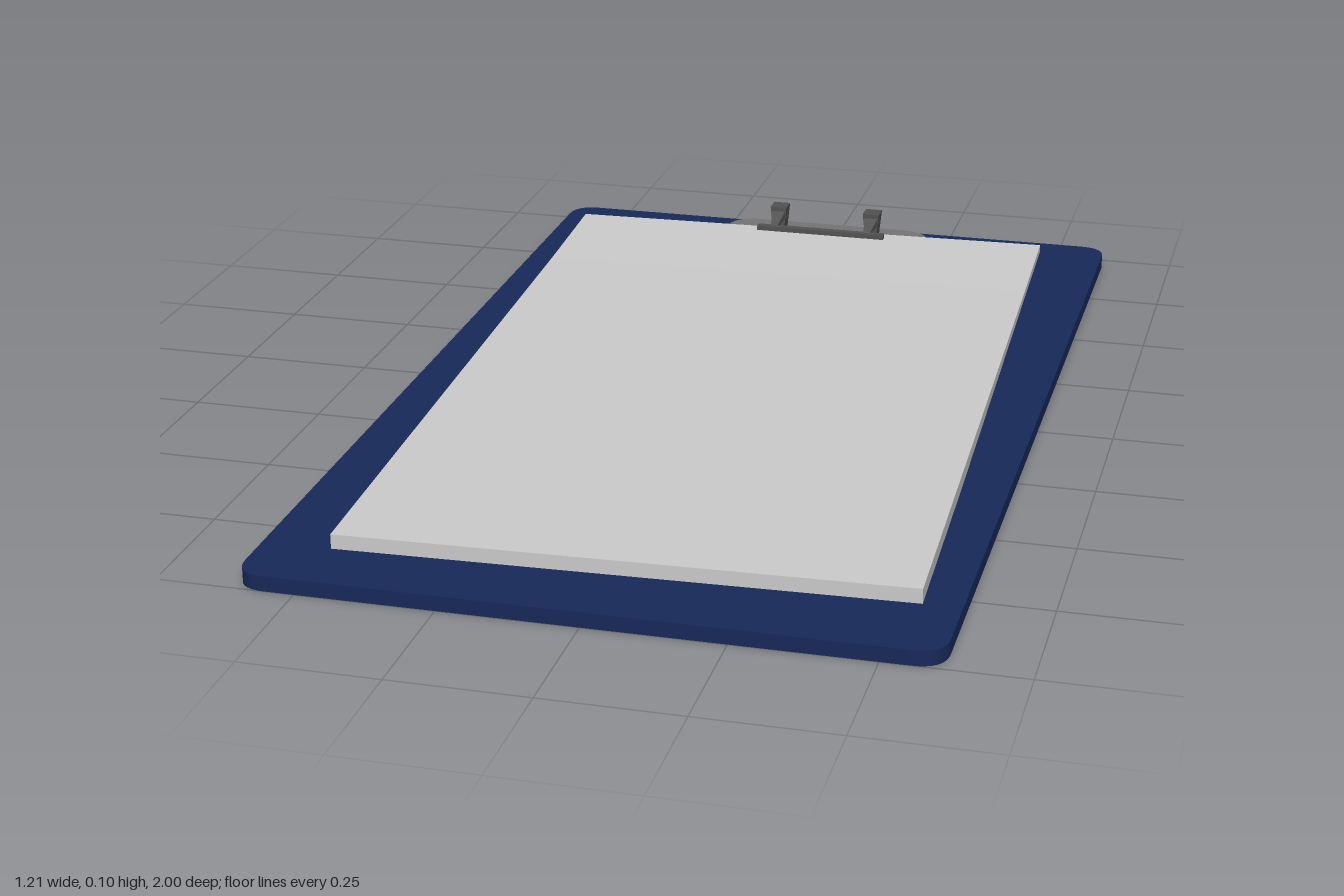
import * as THREE from 'three';

const mat = (color) => new THREE.MeshStandardMaterial({ color, flatShading: true });

// Flat plate lying in xz with separate corner radii at its back and front
function plate(x0, x1, z0, z1, y, h, rBack, rFront) {
  const s = new THREE.Shape();
  const b = -z0, f = -z1; // shape y becomes -z
  s.moveTo(x0 + rFront, f);
  s.lineTo(x1 - rFront, f);
  if (rFront) s.quadraticCurveTo(x1, f, x1, f + rFront);
  s.lineTo(x1, b - rBack);
  s.quadraticCurveTo(x1, b, x1 - rBack, b);
  s.lineTo(x0 + rBack, b);
  s.quadraticCurveTo(x0, b, x0, b - rBack);
  s.lineTo(x0, f + rFront);
  if (rFront) s.quadraticCurveTo(x0, f, x0 + rFront, f);
  const g = new THREE.ExtrudeGeometry(s, { depth: h, bevelEnabled: false, curveSegments: 8 });
  return g.rotateX(-Math.PI / 2).translate(0, y, 0);
}

// Box whose vertices are moved by a rule
function shaped(geometry, rule) {
  const p = geometry.attributes.position, v = new THREE.Vector3();
  for (let i = 0; i < p.count; i++) {
    rule(v.fromBufferAttribute(p, i));
    p.setXYZ(i, v.x, v.y, v.z);
  }
  geometry.computeVertexNormals();
  return geometry;
}

export function createModel() {
  const root = new THREE.Group();
  const add = (name, geometry, material, parent = root) => {
    const m = new THREE.Mesh(geometry, material);
    m.name = name;
    parent.add(m);
    return m;
  };
  const navy = mat(0x17295a), paper = mat(0xcccccc), metal = mat(0x757575), dark = mat(0x525252);

  add('board', plate(-0.607, 0.607, -1, 1, 0, 0.028, 0.055, 0.055), navy);

  // Paper stack: flat at the front, lifted and thinner where it rests on the clip plate
  const stack = shaped(new THREE.BoxGeometry(1.02, 1, 1.73, 1, 1, 12), (v) => {
    const low = 0.032 + 0.014 * THREE.MathUtils.clamp((0.4 - v.z) / 1.15, 0, 1);
    const high = 0.059 + 0.004 * THREE.MathUtils.clamp((-0.58 - v.z) / 0.28, 0, 1);
    v.y = v.y > 0 ? high : low;
  });
  const sheets = add('paperStack', stack, paper);
  sheets.rotation.y = 0.036;
  sheets.position.z = -0.005;

  // Clip
  const clip = new THREE.Group();
  clip.name = 'clip';
  root.add(clip);
  add('clipPlate', plate(-0.228, 0.225, -0.967, -0.715, 0.028, 0.016, 0.07, 0), metal, clip);

  for (const x of [-0.105, 0.103]) {
    // Post, narrower at its foot
    const post = shaped(new THREE.BoxGeometry(0.036, 0.06, 0.036), (v) => {
      if (v.y < 0) v.x *= 0.65;
    });
    add('clipPost', post.translate(x, 0.073, -0.903), dark, clip);
    // Arm sloping down to the bar and tapering
    const arm = shaped(new THREE.BoxGeometry(0.034, 0.014, 0.06), (v) => {
      const t = (v.z + 0.03) / 0.06;
      v.x *= 1 - 0.6 * t;
      v.y = (v.y > 0 ? 0.1 : 0.08) - t * (v.y > 0 ? 0.026 : 0.013);
    });
    add('clipArm', arm.translate(x, 0, -0.87), dark, clip);
  }
  add('clipBar', new THREE.BoxGeometry(0.282, 0.01, 0.016).translate(0, 0.07, -0.84), dark, clip);

  return root;
}
